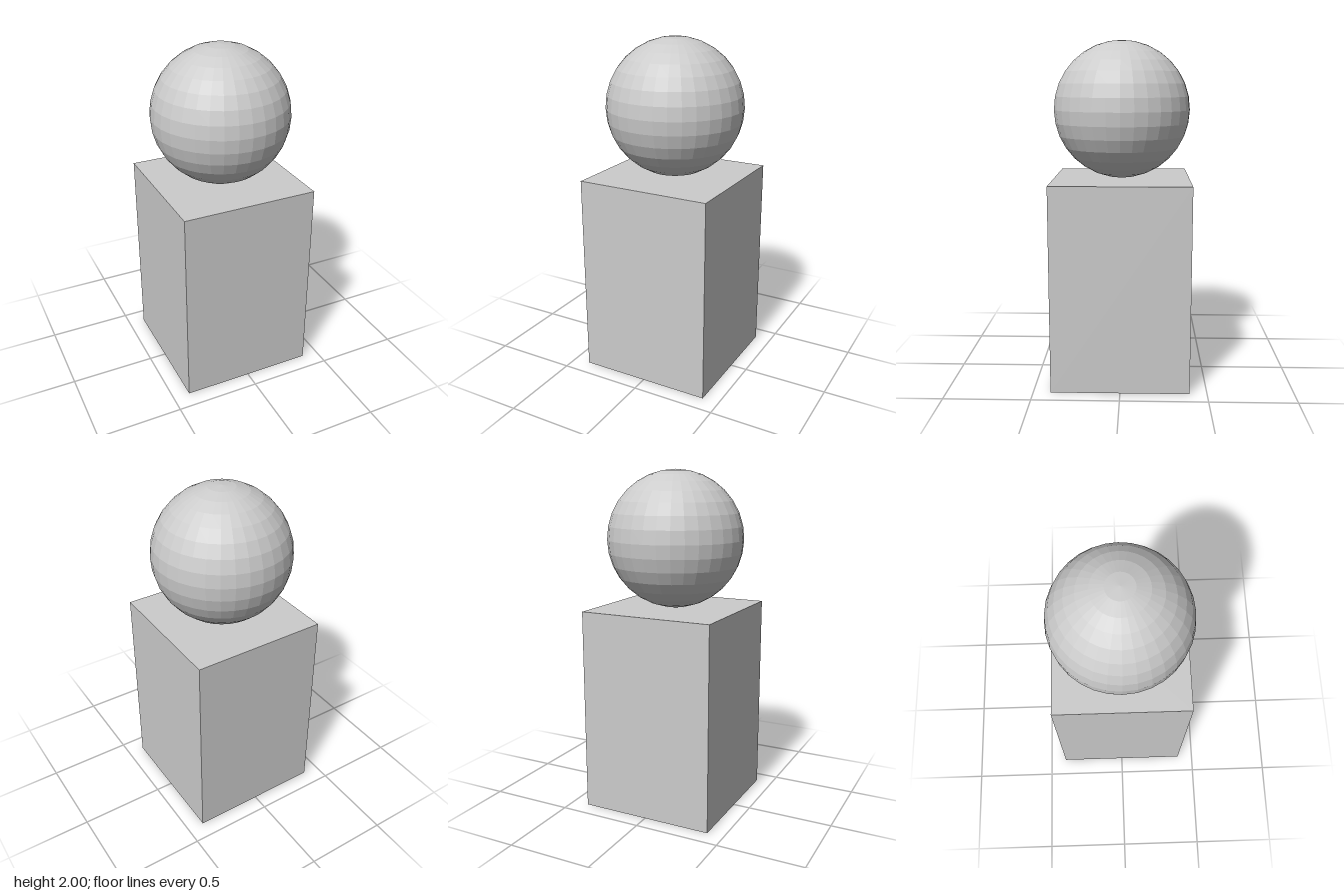
import * as THREE from 'three';

export function createModel() {
  const model = new THREE.Group();
  const material = new THREE.MeshStandardMaterial({ color: 0xcccccc, flatShading: true });

  const addPart = (name, geometry, y) => {
    const mesh = new THREE.Mesh(geometry, material);
    mesh.name = name;
    mesh.position.y = y;
    model.add(mesh);
  };

  // Square pedestal standing on the ground
  addPart('pedestal', new THREE.BoxGeometry(0.8, 1.2, 0.8), 0.6);

  // Faceted ball resting on the pedestal
  addPart('ball', new THREE.SphereGeometry(0.4, 32, 16), 1.6);

  return model;
}
